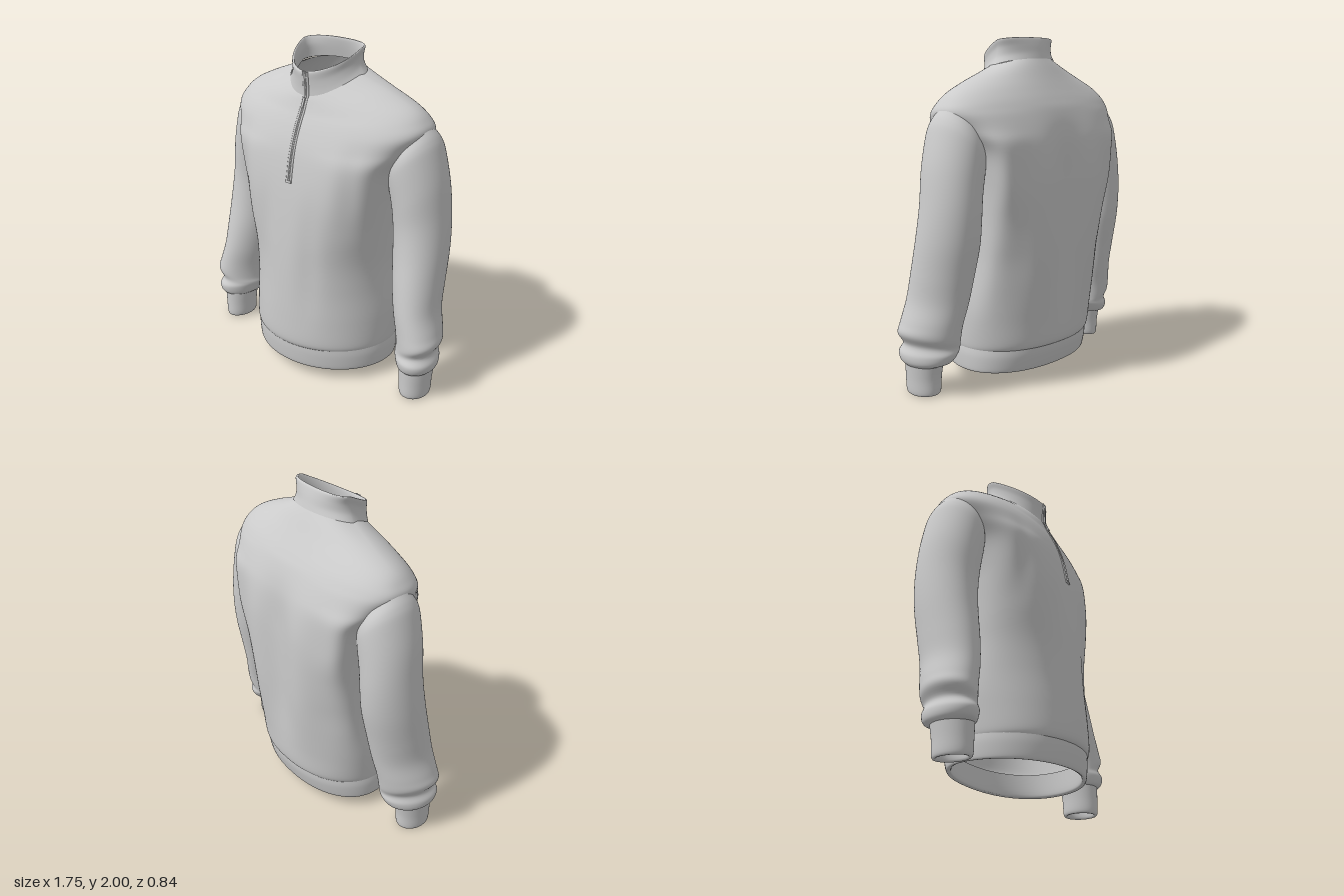
import * as THREE from 'three';

const cloth = new THREE.MeshStandardMaterial({ color: 0xcccccc, side: THREE.DoubleSide });
const TAU = Math.PI * 2;
const { smoothstep } = THREE.MathUtils;
const bump = (v, centre, width) => Math.exp(-(((v - centre) / width) ** 2));

// Catmull-Rom blend of numeric rows, u from 0 to 1
function sampleRows(rows, u) {
  const f = u * (rows.length - 1);
  const i = Math.min(Math.floor(f), rows.length - 2);
  const t = f - i;
  const a = rows[Math.max(i - 1, 0)], b = rows[i], c = rows[i + 1], d = rows[Math.min(i + 2, rows.length - 1)];
  return b.map((_, k) => 0.5 * (2 * b[k] + (c[k] - a[k]) * t
    + (2 * a[k] - 5 * b[k] + 4 * c[k] - d[k]) * t * t
    + (3 * b[k] - a[k] - 3 * c[k] + d[k]) * t * t * t));
}

// Closed rings stacked along the rows; point(row, angle) gives [x, y, z]
function loft(name, rows, point, steps = 5, segs = 96) {
  const n = (rows.length - 1) * steps, pos = [], idx = [];
  for (let j = 0; j <= n; j++) {
    const row = sampleRows(rows, j / n);
    for (let i = 0; i < segs; i++) pos.push(...point(row, (i / segs) * TAU));
  }
  for (let j = 0; j < n; j++) for (let i = 0; i < segs; i++) {
    const a = j * segs + i, b = j * segs + (i + 1) % segs;
    idx.push(a, b, b + segs, a, b + segs, a + segs);
  }
  const g = new THREE.BufferGeometry();
  g.setAttribute('position', new THREE.Float32BufferAttribute(pos, 3));
  g.setIndex(idx);
  g.computeVertexNormals();
  const mesh = new THREE.Mesh(g, cloth);
  mesh.name = name;
  return mesh;
}

// Body ring: [halfWidth, ySide, zFront, yFront, zBack, yBack, front squareness, back squareness, zSide]
function bodyPoint(yPower) {
  return ([w, ys, zf, yf, zb, yb, pf, pb, zs], a) => {
    const s = Math.sin(a), c = Math.cos(a), front = c > 0;
    const p = front ? pf : pb;
    const r = (Math.abs(s) ** p + Math.abs(c) ** p) ** (-1 / p);
    const depth = Math.abs(c) * r;
    return [w * s * r,
      ys + ((front ? yf : yb) - ys) * depth ** yPower,
      zs + ((front ? zf : zb) - zs) * depth];
  };
}
const level = (y, w, zf, zb, pf, pb, zs = -0.02) => [w, y, zf, y, zb, y, pf, pb, zs];

// Torso: oval at the hem, boxy at the armpits, sloping into the neck
const torsoRows = [
  level(0.21, 0.468, 0.397, -0.35, 2, 2.2),
  level(0.25, 0.475, 0.415, -0.372, 2, 2.2, -0.03),
  level(0.4, 0.484, 0.415, -0.382, 2, 2.2, -0.07),
  level(0.6, 0.489, 0.408, -0.39, 2, 2.5, -0.1),
  level(0.8, 0.49, 0.398, -0.398, 2.2, 3, -0.11),
  level(1.0, 0.492, 0.383, -0.402, 2.8, 4.2, -0.1),
  level(1.2, 0.506, 0.362, -0.402, 3.6, 6.5, -0.07),
  [0.533, 1.36, 0.335, 1.37, -0.392, 1.38, 4, 6.5, -0.05],
  [0.61, 1.48, 0.31, 1.47, -0.372, 1.49, 2.8, 3.6, -0.05],
  [0.672, 1.575, 0.28, 1.55, -0.34, 1.59, 2.3, 2.5, -0.06],
  [0.645, 1.64, 0.257, 1.60, -0.31, 1.65, 2.15, 2.3, -0.06],
  [0.58, 1.70, 0.237, 1.64, -0.275, 1.71, 2, 2.1, -0.055],
  [0.45, 1.762, 0.22, 1.68, -0.24, 1.77, 2, 2, -0.05],
  [0.32, 1.812, 0.208, 1.71, -0.2, 1.84, 2, 2, -0.04],
  [0.235, 1.845, 0.198, 1.73, -0.172, 1.885, 2, 2, -0.03],
];
const torsoBase = bodyPoint(1.5);

// Folds: back pleats, hollows beside the chest, sunken sides under the arms
function torsoPoint(row, a) {
  const [x, y, z] = torsoBase(row, a);
  const fade = smoothstep(y, 0.25, 0.8) * (1 - smoothstep(y, 1.2, 1.6));
  const c = Math.cos(a);
  const fold = c < 0
    ? 0.016 * Math.cos(x * 15.5) * Math.min(1, -c * 2)
    : -0.02 * bump(Math.abs(x), 0.4, 0.06) * smoothstep(y, 0.9, 1.2) - 0.012 * bump(Math.abs(x), 0.17, 0.07) * (1 - smoothstep(y, 0.9, 1.3));
  const sink = 0.03 * bump(z, -0.05, 0.14) * smoothstep(y, 0.4, 0.8) * (1 - smoothstep(y, 1.15, 1.4));
  return [x - Math.sign(x) * sink * Math.min(1, Math.abs(x) * 4), y, z + fold * fade];
}

// Ribbed bands, each turned over an edge to show thickness
const hemRows = [
  level(0.22, 0.435, 0.365, -0.32, 2, 2.2),
  level(0.1, 0.44, 0.36, -0.3, 2, 2.2),
  level(0.08, 0.452, 0.372, -0.308, 2, 2.2),
  level(0.078, 0.466, 0.382, -0.32, 2, 2.2),
  level(0.1, 0.472, 0.39, -0.332, 2, 2.2),
  level(0.17, 0.474, 0.398, -0.35, 2, 2.2),
  level(0.22, 0.468, 0.4, -0.355, 2, 2.2),
];
const collarRows = [
  [0.243, 1.84, 0.2, 1.722, -0.178, 1.88, 2, 2, -0.03],
  [0.22, 1.885, 0.2, 1.765, -0.168, 1.915, 2, 2, -0.03],
  [0.213, 1.935, 0.204, 1.81, -0.157, 1.957, 1.9, 2.2, -0.035],
  [0.22, 1.972, 0.208, 1.85, -0.145, 1.993, 1.85, 2.4, -0.04],
  [0.219, 1.985, 0.203, 1.864, -0.137, 2.0, 1.85, 2.4, -0.04],
  [0.21, 1.98, 0.19, 1.86, -0.125, 1.995, 1.85, 2.4, -0.04],
  [0.2, 1.93, 0.182, 1.81, -0.132, 1.95, 1.9, 2.2, -0.035],
  [0.208, 1.86, 0.178, 1.735, -0.15, 1.88, 2, 2, -0.03],
];

// Sleeve ring: [xOuter, yOuter, xInner, yInner, zFront, zBack, forward shift of the outer edge]
function sleevePoint(side) {
  return ([xo, yo, xi, yi, zf, zb, skew], a) => {
    const s = Math.sin(side * a), c = Math.cos(a);
    return [side * ((xo + xi) / 2 + (xo - xi) / 2 * s),
      (yo + yi) / 2 + (yo - yi) / 2 * s,
      (zf + zb) / 2 + (zf - zb) / 2 * c + skew * s];
  };
}
const sleeveRows = [
  [0.825, 0.17, 0.645, 0.185, 0.165, -0.06, 0],
  [0.852, 0.2, 0.615, 0.2, 0.19, -0.115, 0.02],
  [0.857, 0.245, 0.59, 0.25, 0.197, -0.14, 0.035],
  [0.838, 0.3, 0.578, 0.275, 0.178, -0.138, 0.035],
  [0.872, 0.365, 0.58, 0.31, 0.187, -0.15, 0.04],
  [0.858, 0.43, 0.572, 0.4, 0.182, -0.165, 0.035],
  [0.827, 0.55, 0.543, 0.53, 0.17, -0.19, 0.03],
  [0.82, 0.7, 0.517, 0.68, 0.15, -0.22, 0.02],
  [0.815, 0.9, 0.495, 0.85, 0.12, -0.255, 0.01],
  [0.80, 1.1, 0.488, 0.98, 0.105, -0.268, 0],
  [0.777, 1.3, 0.48, 1.1, 0.11, -0.268, 0],
  [0.735, 1.48, 0.46, 1.22, 0.115, -0.265, 0],
  [0.708, 1.55, 0.45, 1.28, 0.11, -0.255, 0],
  [0.675, 1.597, 0.43, 1.33, 0.09, -0.23, 0],
];
const cuffRows = [
  [0.80, 0.17, 0.67, 0.18, 0.14, -0.03, 0],
  [0.797, 0.03, 0.675, 0.035, 0.14, -0.025, 0],
  [0.81, 0.004, 0.662, 0.012, 0.155, -0.04, 0],
  [0.823, 0.02, 0.65, 0.03, 0.168, -0.052, 0],
  [0.828, 0.1, 0.645, 0.11, 0.17, -0.056, 0],
  [0.835, 0.19, 0.637, 0.2, 0.172, -0.07, 0],
];

// Tube laid along the front of the chest at offset x
function frontTube(name, x, radius, lift) {
  const line = [[1.865, 0.207], [1.8, 0.203], [1.72, 0.203], [1.64, 0.238], [1.55, 0.281], [1.4, 0.33], [1.26, 0.356]];
  const curve = new THREE.CatmullRomCurve3(line.map(([y, z]) => new THREE.Vector3(x, y, z + lift)));
  const mesh = new THREE.Mesh(new THREE.TubeGeometry(curve, 60, radius, 8), cloth);
  mesh.name = name;
  return mesh;
}

function box(name, size, position, tilt) {
  const mesh = new THREE.Mesh(new THREE.BoxGeometry(...size), cloth);
  mesh.name = name;
  mesh.position.set(...position);
  mesh.rotation.x = tilt;
  return mesh;
}

export function createModel() {
  const model = new THREE.Group();
  model.name = 'pullover';
  model.add(
    loft('torso', torsoRows, torsoPoint, 6, 160),
    loft('hemBand', hemRows, bodyPoint(1)),
    loft('collar', collarRows, bodyPoint(1)),
  );

  // Sleeves and cuffs
  for (const [label, side] of [['left', 1], ['right', -1]]) {
    model.add(
      loft(label + 'Sleeve', sleeveRows, sleevePoint(side), 6, 64),
      loft(label + 'Cuff', cuffRows, sleevePoint(side), 5, 48),
    );
  }

  // Quarter zip: two welts, teeth, pull tab and bottom stop
  const zip = new THREE.Group();
  zip.name = 'zipper';
  zip.add(
    frontTube('leftWelt', 0.026, 0.008, -0.003),
    frontTube('rightWelt', 0, 0.008, -0.003),
    frontTube('teeth', 0.013, 0.006, -0.003),
    box('pullTab', [0.014, 0.06, 0.008], [0.013, 1.69, 0.224], -0.4),
    box('bottomStop', [0.04, 0.014, 0.012], [0.013, 1.257, 0.357], -0.17),
  );
  model.add(zip);
  return model;
}
